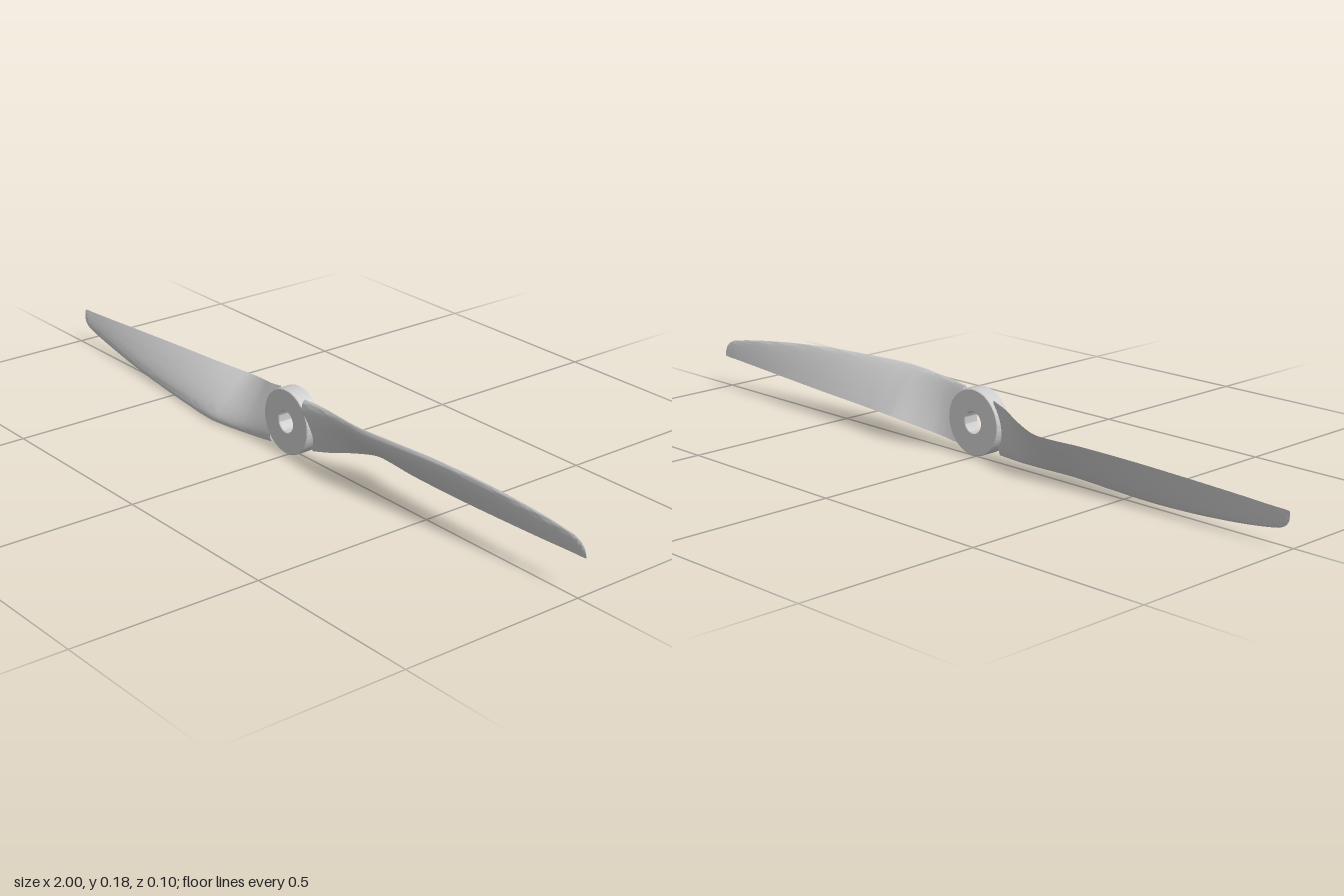
import * as THREE from 'three';
import { toCreasedNormals } from 'three/addons/utils/BufferGeometryUtils.js';

const CENTER_Y = 0.0925;

// Blade stations, hub-centred: x, leading y, leading z, trailing y, trailing z, thickness
const STATIONS = [
  [0.065, 0.08, 0.022, -0.068, -0.004, 0.022],
  [0.12, 0.085, 0.027, -0.056, -0.015, 0.022],
  [0.18, 0.088, 0.034, -0.042, -0.036, 0.022],
  [0.25, 0.09, 0.043, -0.029, -0.053, 0.022],
  [0.31, 0.091, 0.046, -0.026, -0.051, 0.022],
  [0.4, 0.091, 0.038, -0.025, -0.042, 0.02],
  [0.55, 0.089, 0.022, -0.021, -0.034, 0.017],
  [0.7, 0.081, 0.008, -0.015, -0.028, 0.013],
  [0.85, 0.066, -0.005, -0.008, -0.023, 0.009],
  [0.95, 0.051, -0.012, -0.003, -0.021, 0.006],
  [0.98, 0.042, -0.014, -0.002, -0.02, 0.005],
  [0.995, 0.028, -0.016, -0.001, -0.02, 0.003],
  [1.0, 0.012, -0.018, 0, -0.02, 0.001],
];

// Airfoil half thickness, peak 0.5, zero at both ends
const foil = s => 5 * (0.2969 * Math.sqrt(s) - 0.126 * s - 0.3516 * s ** 2 + 0.2843 * s ** 3 - 0.1036 * s ** 4);

function bladeGeometry(steps = 96, n = 18) {
  const curve = pick => new THREE.CatmullRomCurve3(STATIONS.map(pick), false, 'catmullrom', 0.5);
  const lead = curve(s => new THREE.Vector3(s[0], s[1], s[2]));
  const trail = curve(s => new THREE.Vector3(s[0], s[3], s[4]));
  const thick = curve(s => new THREE.Vector3(s[0], s[5], 0));
  const ring = 2 * n, pos = [], idx = [];
  for (let i = 0; i <= steps; i++) {
    const u = i / steps;
    const a = lead.getPoint(u), b = trail.getPoint(u), t = thick.getPoint(u).y;
    const chord = b.clone().sub(a);
    const normal = new THREE.Vector3(0, chord.z, -chord.y).normalize();
    for (let j = 0; j < ring; j++) {
      // Down the curved front, then back up the flatter rear
      const front = j <= n;
      const s = (1 - Math.cos(Math.PI * (front ? j : ring - j) / n)) / 2;
      const h = t * foil(s) * (front ? 1.5 : -0.5);
      const p = a.clone().addScaledVector(chord, s).addScaledVector(normal, h);
      pos.push(p.x, p.y, p.z);
    }
  }
  for (let i = 0; i < steps; i++) for (let j = 0; j < ring; j++) {
    const k = (j + 1) % ring, a = i * ring, b = a + ring;
    idx.push(a + j, a + k, b + k, a + j, b + k, b + j);
  }
  // End caps
  const last = steps * ring;
  for (let j = 1; j < ring - 1; j++) {
    idx.push(0, j + 1, j);
    idx.push(last, last + j, last + j + 1);
  }
  const g = new THREE.BufferGeometry();
  g.setAttribute('position', new THREE.Float32BufferAttribute(pos, 3));
  g.setIndex(idx);
  return toCreasedNormals(g, 0.7);
}

function hubGeometry() {
  const shape = new THREE.Shape().absarc(0, 0, 0.085, 0, Math.PI * 2);
  shape.holes.push(new THREE.Path().absarc(0, 0, 0.03, 0, Math.PI * 2, true));
  const g = new THREE.ExtrudeGeometry(shape, {
    depth: 0.041, curveSegments: 48, bevelThickness: 0.002, bevelSize: 0.002, bevelSegments: 1,
  });
  g.translate(0, 0, -0.011);
  return toCreasedNormals(g, 0.5);
}

export function createModel() {
  const model = new THREE.Group();
  model.name = 'propeller';
  const material = new THREE.MeshStandardMaterial({ color: 0xcccccc });
  const add = (name, geometry) => {
    const mesh = new THREE.Mesh(geometry, material);
    mesh.name = name;
    mesh.position.y = CENTER_Y;
    model.add(mesh);
    return mesh;
  };

  // Bored hub
  add('hub', hubGeometry());

  // Two blades, half a turn apart
  const blade = bladeGeometry();
  add('leftBlade', blade);
  add('rightBlade', blade).rotation.z = Math.PI;
  return model;
}
